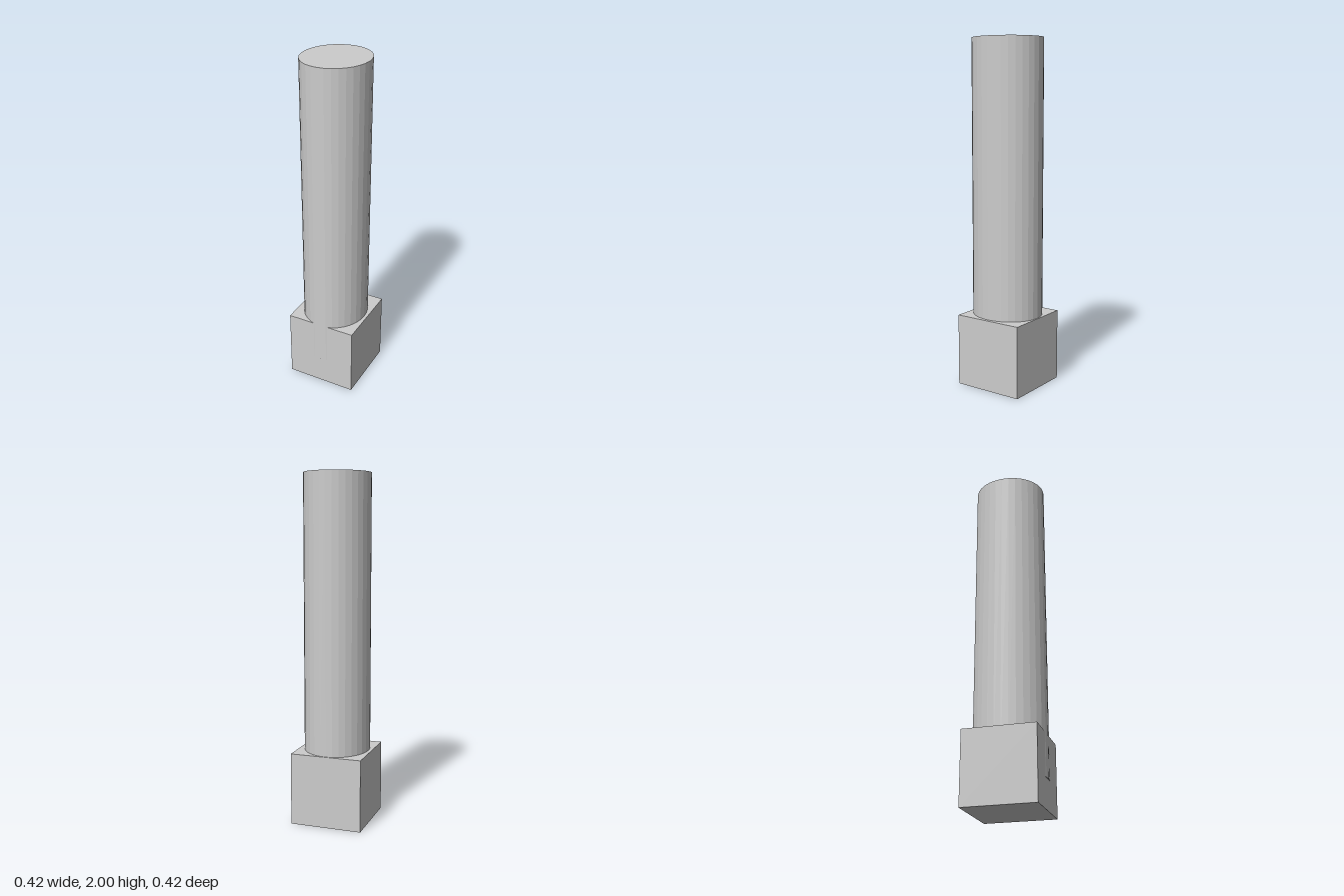
import * as THREE from 'three';

export function createModel() {
  const group = new THREE.Group();
  const grey = new THREE.MeshStandardMaterial({ color: 0xcccccc, flatShading: true });
  grey.name = 'light grey';

  // Cube base
  const base = new THREE.Mesh(new THREE.BoxGeometry(0.417, 0.417, 0.417), grey);
  base.name = 'base';
  base.position.set(0, 0.2085, -0.004);

  // Slightly oval column, sunk into the base and just breaking through its front face
  const bottom = 0.17, top = 2;
  const column = new THREE.Mesh(new THREE.CylinderGeometry(1, 1, top - bottom, 32), grey);
  column.name = 'column';
  column.scale.set(0.19, 1, 0.209);
  column.position.set(0, (top + bottom) / 2, 0.002);

  group.add(base, column);
  return group;
}
